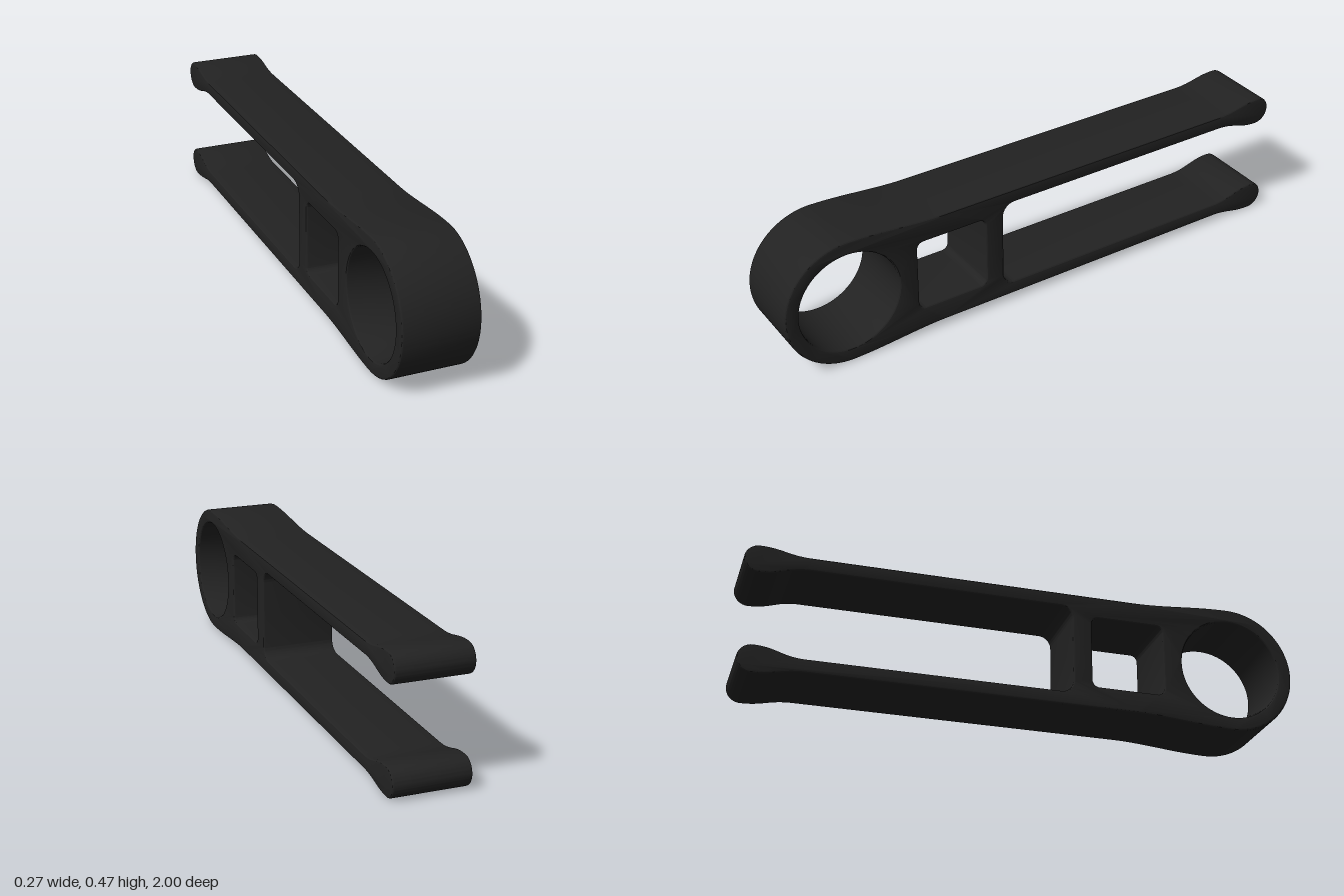
import * as THREE from 'three';
import { toCreasedNormals } from 'three/addons/utils/BufferGeometryUtils.js';

const WIDTH = 0.27, MID = 0.2375, BEVEL = 0.008;

// Upper half of the side profile (x = length, y = height above the centre line)
function upperHalf() {
  const p = new THREE.Path();
  p.moveTo(1, 0);
  p.absarc(0.7625, 0, 0.2375, 0, Math.PI / 2, false); // ring
  p.bezierCurveTo(0.64, 0.2375, 0.52, 0.215, 0.40, 0.215); // neck
  p.lineTo(-0.77, 0.215);
  p.bezierCurveTo(-0.85, 0.215, -0.87, 0.2375, -0.948, 0.2375);
  p.absarc(-0.948, 0.1855, 0.052, Math.PI / 2, Math.PI * 1.5, false); // rounded tip
  p.bezierCurveTo(-0.87, 0.1335, -0.85, 0.165, -0.77, 0.165);
  p.lineTo(0.12, 0.165);
  p.absarc(0.12, 0.12, 0.045, Math.PI / 2, 0, true); // fork corner
  p.lineTo(0.165, 0);
  return p.getPoints(20);
}

// Rounded square window
function windowHole(cx, cy, half, r) {
  const p = new THREE.Path(), k = half - r;
  [[1, 1], [-1, 1], [-1, -1], [1, -1]].forEach(([sx, sy], i) => {
    p.absarc(cx + sx * k, cy + sy * k, r, i * Math.PI / 2, (i + 1) * Math.PI / 2, false);
  });
  p.closePath();
  return p;
}

export function createModel() {
  const group = new THREE.Group();
  group.name = 'forkedClip';
  const black = new THREE.MeshStandardMaterial({ color: 0x222222 });
  black.name = 'matteBlack';

  // Mirror the half profile across the centre line
  const upper = upperHalf();
  const lower = upper.slice(1, -1).reverse().map(p => new THREE.Vector2(p.x, -p.y));
  const shape = new THREE.Shape([...upper, ...lower]);

  // Ring bore and square window
  shape.holes.push(new THREE.Path().absarc(0.7625, 0, 0.187, 0, Math.PI * 2, true));
  shape.holes.push(windowHole(0.37, 0, 0.134, 0.025));

  const body = new THREE.ExtrudeGeometry(shape, {
    depth: WIDTH - 2 * BEVEL, curveSegments: 32,
    bevelEnabled: true, bevelThickness: BEVEL, bevelSize: BEVEL, bevelOffset: -BEVEL, bevelSegments: 3,
  });
  body.translate(0, MID, -(WIDTH / 2 - BEVEL));
  body.rotateY(-Math.PI / 2);

  const mesh = new THREE.Mesh(toCreasedNormals(body, 0.35), black);
  mesh.name = 'clipBody';
  group.add(mesh);
  return group;
}
